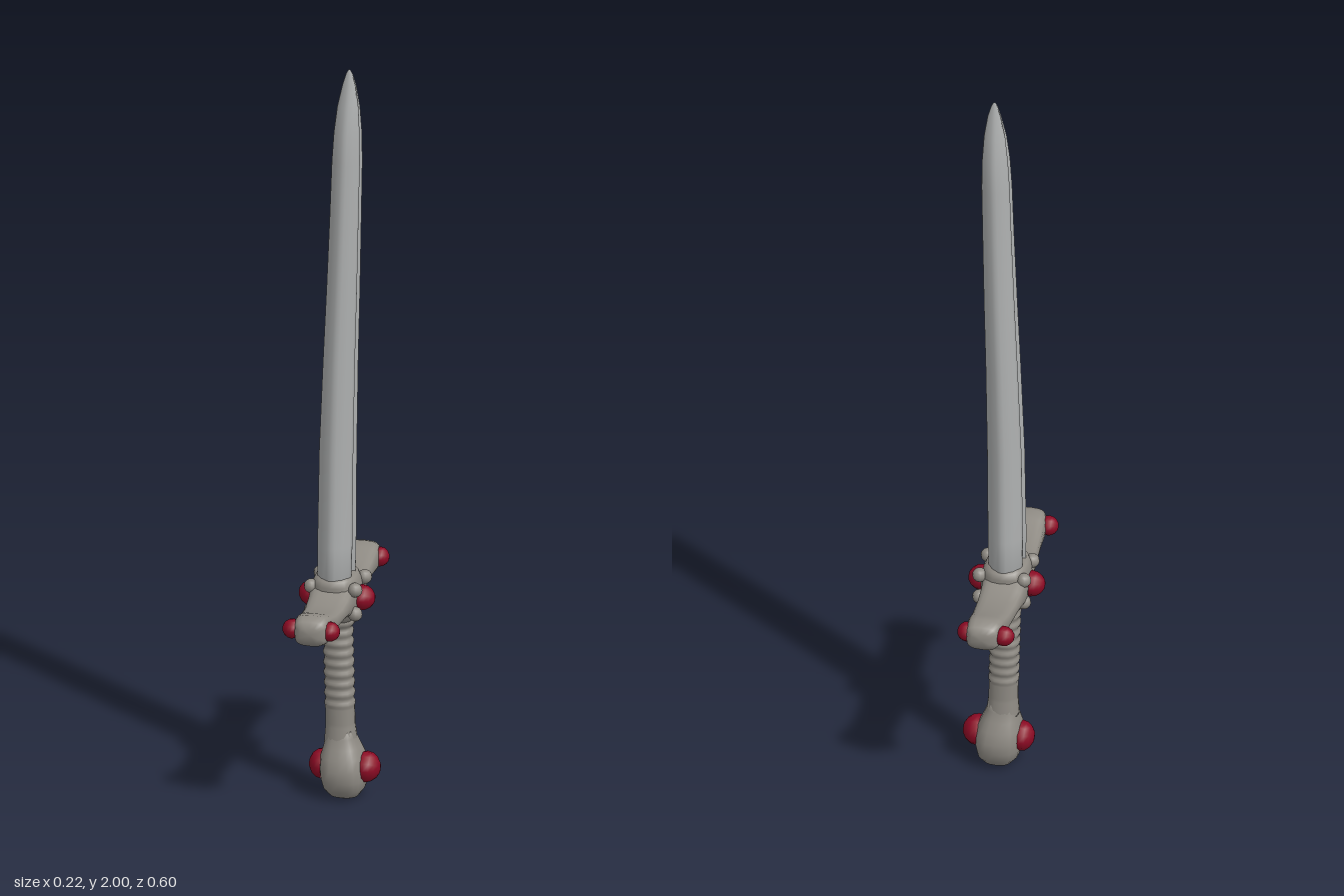
import * as THREE from 'three';

const steel = new THREE.MeshStandardMaterial({ color: 0xaeb0b0 });
steel.name = 'blade steel';
const pewter = new THREE.MeshStandardMaterial({ color: 0x8f8b84 });
pewter.name = 'hilt pewter';
const ruby = new THREE.MeshStandardMaterial({ color: 0x8c0a24 });
ruby.name = 'ruby red';

// Skin a closed surface over a list of rings, capped at both ends
function loft(rings) {
  const n = rings[0].length, pos = [], idx = [];
  rings.forEach(r => r.forEach(p => pos.push(...p)));
  for (let i = 0; i < rings.length - 1; i++) {
    for (let j = 0; j < n; j++) {
      const a = i * n + j, b = i * n + (j + 1) % n;
      idx.push(a, a + n, b, b, a + n, b + n);
    }
  }
  [0, rings.length - 1].forEach((ri, k) => {
    const c = pos.length / 3;
    const mid = [0, 1, 2].map(d => rings[ri].reduce((s, p) => s + p[d], 0) / n);
    pos.push(...mid);
    for (let j = 0; j < n; j++) {
      const a = ri * n + j, b = ri * n + (j + 1) % n;
      if (k === 0) idx.push(c, a, b); else idx.push(c, b, a);
    }
  });
  const g = new THREE.BufferGeometry();
  g.setAttribute('position', new THREE.Float32BufferAttribute(pos, 3));
  g.setIndex(idx);
  g.computeVertexNormals();
  return g;
}

// Rounded unit outline; a lower power makes it squarer
function outline(n, power) {
  return Array.from({ length: n }, (_, i) => {
    const t = i / n * Math.PI * 2, c = Math.cos(t), s = Math.sin(t);
    return [Math.sign(c) * Math.abs(c) ** power, Math.sign(s) * Math.abs(s) ** power];
  });
}

// Sections along y: [y, centre x, half width x, half width z]
const loftY = (sections, shape) => loft(sections.map(([y, cx, hx, hz]) =>
  shape.map(([u, v]) => [cx + u * hx, y, v * hz])));

export function createModel() {
  const model = new THREE.Group();
  const add = (name, geometry, material, parent = model) => {
    const mesh = new THREE.Mesh(geometry, material);
    mesh.name = name;
    parent.add(mesh);
    return mesh;
  };
  const group = name => {
    const g = new THREE.Group();
    g.name = name;
    model.add(g);
    return g;
  };

  // Blade: fullered section, bowed slightly towards +x
  const quarter = [[0.78, 0], [0.8, 0.17], [1, 0.3], [0.93, 0.5], [0.62, 0.8], [0.22, 0.97]];
  const half = [...quarter, [0, 1], ...quarter.slice(1).reverse().map(([u, v]) => [-u, v])];
  const bladeShape = [...half, ...half.map(([u, v]) => [-u, -v])];
  bladeShape.splice(half.length, 0);
  add('blade', loftY([
    [0.57, -0.01, 0.044, 0.066], [0.7, -0.009, 0.046, 0.064], [0.95, -0.006, 0.045, 0.06],
    [1.2, 0.001, 0.042, 0.057], [1.4, 0.008, 0.04, 0.053], [1.6, 0.014, 0.038, 0.048],
    [1.75, 0.018, 0.037, 0.043], [1.83, 0.02, 0.034, 0.038], [1.9, 0.022, 0.028, 0.025],
    [1.96, 0.024, 0.017, 0.011], [1.99, 0.024, 0.008, 0.004], [2, 0.024, 0.002, 0.001],
  ], bladeShape), steel);

  // Crossguard: waisted arms with swollen ends, [z, y, centre x, half x, half y]
  const bar = [
    [0.299, 0.555, -0.003, 0.025, 0.018], [0.29, 0.555, -0.004, 0.04, 0.033],
    [0.265, 0.556, -0.005, 0.046, 0.041], [0.235, 0.556, -0.005, 0.049, 0.035],
    [0.19, 0.552, -0.006, 0.05, 0.024], [0.13, 0.549, -0.007, 0.053, 0.021],
    [0.085, 0.55, -0.008, 0.056, 0.029], [0.05, 0.553, -0.009, 0.059, 0.045],
    [0, 0.555, -0.009, 0.06, 0.05],
  ];
  const arms = [...bar, ...bar.slice(0, -1).reverse().map(([z, y, cx, hx, hy]) => [-z, y, cx - 0.006, hx, hy])];
  const barShape = outline(20, 0.6);
  add('crossguard', loft(arms.map(([z, y, cx, hx, hy]) =>
    barShape.map(([u, v]) => [cx + u * hx, y + v * hy, z]))), pewter);

  // Collar where blade, guard and grip meet
  add('collar', loftY([
    [0.485, -0.008, 0.04, 0.038], [0.505, -0.008, 0.055, 0.058], [0.53, -0.008, 0.064, 0.066],
    [0.565, -0.008, 0.064, 0.073], [0.595, -0.009, 0.059, 0.075], [0.61, -0.009, 0.052, 0.07],
    [0.615, -0.009, 0.04, 0.055],
  ], outline(20, 0.8)), pewter);

  // Grip with wrapped ridges
  const gripRows = [];
  for (let i = 0; i <= 68; i++) {
    const y = 0.15 + i * 0.005;
    const ridge = y > 0.25 ? Math.sin((y - 0.25) / 0.028 * Math.PI * 2) * 0.0022 : 0;
    const flare = Math.max(0, y - 0.465) * 0.3 + Math.max(0, 0.2 - y) * 0.1;
    const r = 0.036 + ridge + flare;
    gripRows.push([y, 0.002 - (y - 0.15) * 0.025, r + 0.002, r]);
  }
  add('grip', loftY(gripRows, outline(16, 0.9)), pewter);

  // Pommel: teardrop knob
  add('pommel', loftY([
    [0, 0.014, 0.02, 0.022], [0.008, 0.013, 0.038, 0.04], [0.028, 0.012, 0.053, 0.058],
    [0.055, 0.011, 0.059, 0.067], [0.085, 0.01, 0.06, 0.069], [0.115, 0.008, 0.056, 0.06],
    [0.14, 0.006, 0.047, 0.049], [0.165, 0.003, 0.039, 0.039], [0.19, 0.002, 0.036, 0.034],
  ], outline(20, 0.78)), pewter);

  // Faceted-round gems on both broad sides: [x, y, z, depth, radius]
  const gems = group('gems');
  [
    ['guardCentreGem', -0.072, 0.55, 0, 0.037, 0.034], ['guardCentreGem', 0.056, 0.55, 0, 0.036, 0.034],
    ['guardEndGem', -0.056, 0.556, 0.265, 0.026, 0.026], ['guardEndGem', 0.042, 0.556, 0.262, 0.026, 0.026],
    ['guardEndGem', -0.062, 0.556, -0.266, 0.028, 0.026], ['guardEndGem', 0.034, 0.556, -0.266, 0.025, 0.026],
    ['pommelGem', -0.047, 0.083, 0, 0.034, 0.04], ['pommelGem', 0.068, 0.085, 0, 0.038, 0.041],
  ].forEach(([name, x, y, z, depth, r]) => {
    const gem = add(name, new THREE.SphereGeometry(1, 12, 8), ruby, gems);
    gem.rotation.z = Math.PI / 2;
    gem.position.set(x, y, z);
    gem.scale.set(r, depth, r);
  });

  // Small beads that hold the centre gems
  const beads = group('beads');
  for (const x of [-0.064, 0.052]) {
    for (const y of [0.522, 0.588]) {
      for (const z of [-0.048, 0.048]) {
        const bead = add('bead', new THREE.SphereGeometry(0.019, 10, 8), pewter, beads);
        bead.position.set(x, y, z);
      }
    }
  }
  return model;
}
